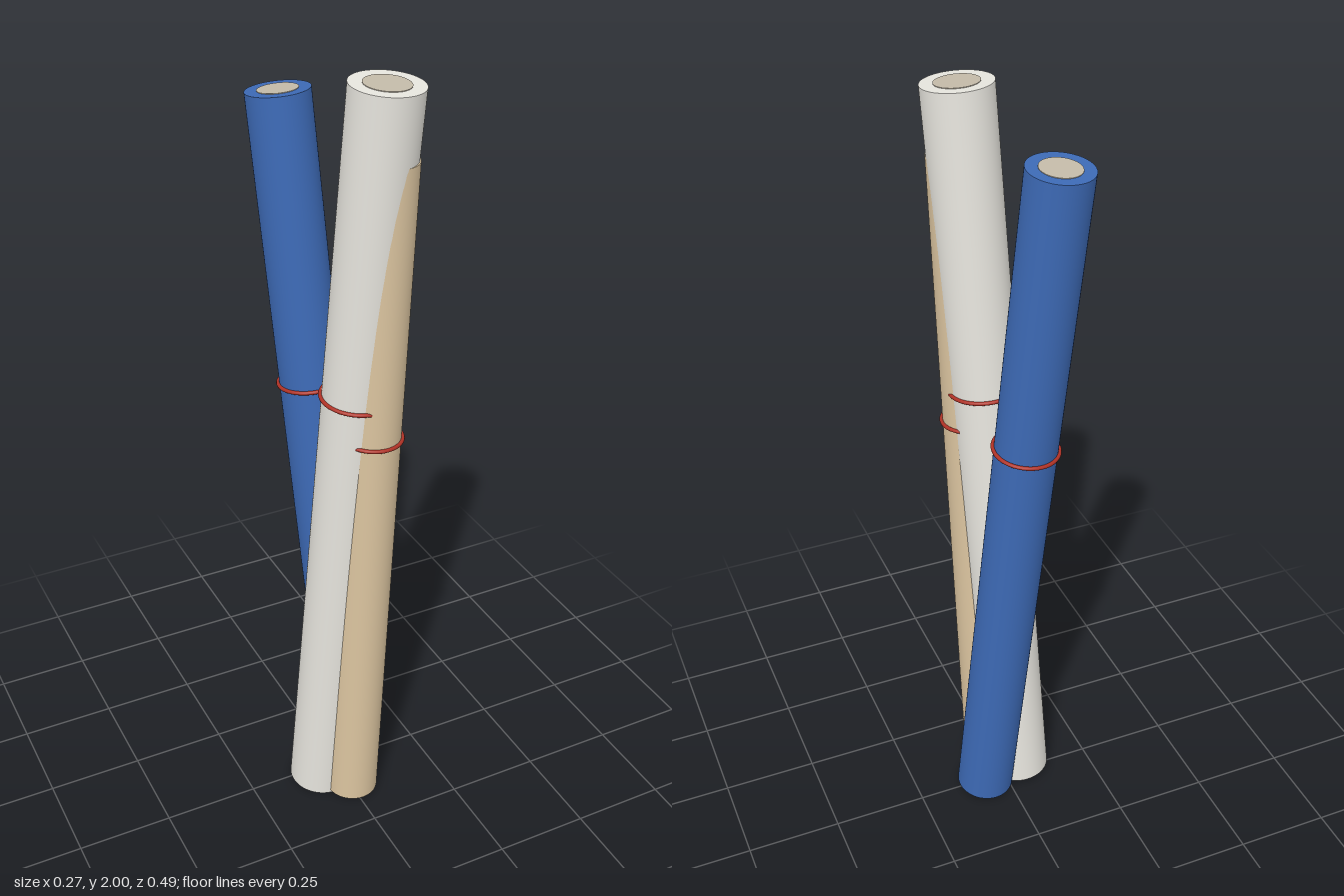
import * as THREE from 'three';

const mat = (name, color) => {
  const m = new THREE.MeshStandardMaterial({ color });
  m.name = name;
  return m;
};

export function createModel() {
  const white = mat('white paper', 0xe8e6df);
  const blue = mat('blue paper', 0x3d6ab6);
  const tan = mat('tan paper', 0xdcc5a0);
  const core = mat('grey core', 0xc4bba9);
  const red = mat('red band', 0xb03226);

  const UP = new THREE.Vector3(0, 1, 0);
  const model = new THREE.Group();
  model.name = 'paperRolls';

  // One leaning roll: paper cylinder, a core disc on each end, a band round the middle
  function addRoll(name, bottom, top, radius, paper) {
    const a = new THREE.Vector3(...bottom);
    const b = new THREE.Vector3(...top);
    const length = a.distanceTo(b);
    const roll = new THREE.Group();
    roll.name = name;
    roll.position.copy(a);
    roll.quaternion.setFromUnitVectors(UP, b.clone().sub(a).normalize());

    const add = (part, geometry, material, y) => {
      const mesh = new THREE.Mesh(geometry, material);
      mesh.name = part;
      mesh.position.y = y;
      roll.add(mesh);
      return mesh;
    };
    add('paper', new THREE.CylinderGeometry(radius, radius, length, 64), paper, length / 2);
    for (const [part, y] of [['bottomCore', 0], ['topCore', length]]) {
      add(part, new THREE.CylinderGeometry(radius * 0.63, radius * 0.63, 0.003, 48), core, y);
    }
    add('band', new THREE.TorusGeometry(radius + 0.003, 0.005, 10, 64), red, length * 0.62)
      .rotation.x = Math.PI / 2;
    model.add(roll);
  }

  addRoll('whiteRoll', [-0.053, 0.008, 0.025], [0.044, 1.993, 0.161], 0.085, white);
  addRoll('blueRoll', [0.06, 0.009, -0.003], [-0.056, 1.904, -0.172], 0.077, blue);
  addRoll('tanRoll', [0.005, 0.01, 0.1], [0.05, 1.83, 0.162], 0.07, tan);

  return model;
}
